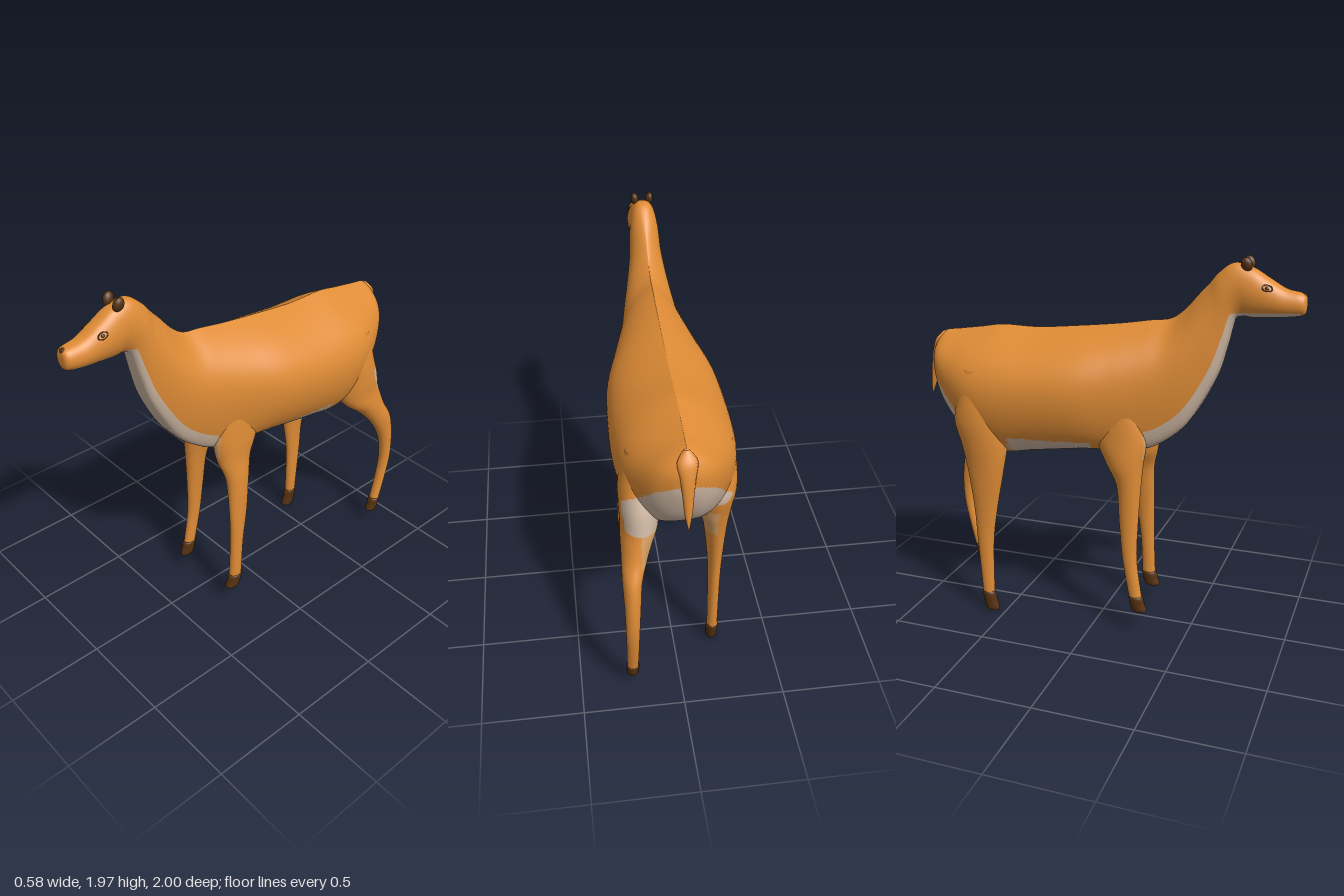
import * as THREE from 'three';

const { smoothstep } = THREE.MathUtils;

const flat = (name, color) => {
  const m = new THREE.MeshStandardMaterial({ color });
  m.name = name;
  return m;
};

// Smooth interpolation through rows of numbers
function sampleRows(rows, u) {
  const n = rows.length - 1;
  const i = Math.min(Math.floor(u * n), n - 1), t = u * n - i;
  const at = k => rows[Math.max(0, Math.min(n, k))];
  return rows[0].map((_, c) => {
    const a = at(i - 1)[c], b = at(i)[c], d = at(i + 1)[c], e = at(i + 2)[c];
    return b + 0.5 * t * (d - a + t * (2 * a - 5 * b + 4 * d - e + t * (3 * (b - d) + e - a)));
  });
}

// Skin a surface over rows; paint() picks the material index of each triangle
function loft(name, rows, point, materials, paint = () => 0, nu = 40, nv = 20) {
  const pos = [], buckets = materials.map(() => []);
  for (let i = 0; i <= nu; i++) {
    const row = sampleRows(rows, i / nu);
    for (let j = 0; j < nv; j++) pos.push(...point(row, j / nv * Math.PI * 2));
  }
  const add = (angle, ...tri) => {
    const mid = [0, 1, 2].map(q => tri.reduce((s, v) => s + pos[v * 3 + q], 0) / 3);
    buckets[paint(...mid, angle)].push(...tri);
  };
  for (let i = 0; i < nu; i++) {
    for (let j = 0; j < nv; j++) {
      const a = i * nv + j, b = a + nv, c = i * nv + (j + 1) % nv, d = c + nv;
      const angle = (j + 0.5) / nv * Math.PI * 2;
      add(angle, a, b, c);
      add(angle, c, b, d);
    }
  }
  const g = new THREE.BufferGeometry();
  g.setAttribute('position', new THREE.Float32BufferAttribute(pos, 3));
  g.setIndex(buckets.flat());
  let start = 0;
  buckets.forEach((list, m) => {
    if (list.length) g.addGroup(start, list.length, m);
    start += list.length;
  });
  g.computeVertexNormals();
  const mesh = new THREE.Mesh(g, materials);
  mesh.name = name;
  return mesh;
}

// Body section: top z, top y, bottom z, bottom y, half width.
// The back is pinched to a ridge, the chest is full and the head is rounder.
const bodyPoint = ([tz, ty, bz, by, w], a) => {
  const c = Math.cos(a), sn = Math.sin(a), s = (1 - c) / 2;
  const pinch = 0.9 - 1.1 * smoothstep(tz, 0.3, 0.68);
  const full = 0.3 + 0.3 * smoothstep(tz, -0.1, 0.25) - 0.6 * smoothstep(tz, 0.5, 0.7);
  const p = 1 + c * (c > 0 ? pinch : full);
  const f = Math.abs(sn) < 1e-6 ? 0 : Math.sign(sn) * Math.pow(Math.abs(sn), p);
  return [Math.max(w, 0) * f, ty + (by - ty) * s, tz + (bz - tz) * s];
};

// Limb section: x, y, z, half width, half depth
const limbPoint = ([x, y, z, rx, rz], a) =>
  [x + Math.max(rx, 0) * Math.cos(a), y, z - Math.max(rz, 0) * Math.sin(a)];

// Shoulder rows shared by both front legs
const shoulder = side => [
  [side * 0.12, 1.33, 0.14, 0.05, 0.06], [side * 0.125, 1.18, 0.142, 0.066, 0.095],
  [side * 0.123, 1.04, 0.14, 0.076, 0.128], [side * 0.132, 0.92, 0.159, 0.069, 0.098]
];

export function createModel() {
  const group = new THREE.Group();
  const coat = flat('orange coat', 0xdf8c36);
  const cream = flat('cream underside', 0xcdb6a2);
  const tan = flat('tan blend', 0xd7a065);
  const dark = flat('dark brown', 0x54300f);
  const skin = [coat, cream, tan];

  // Torso, neck and head in one skin, from rump to muzzle
  const body = [
    [-0.955, 1.39, -0.955, 1.39, 0],
    [-0.935, 1.455, -0.94, 1.27, 0.07],
    [-0.895, 1.505, -0.875, 1.12, 0.145],
    [-0.80, 1.522, -0.77, 1.0, 0.212],
    [-0.68, 1.54, -0.66, 0.935, 0.265],
    [-0.55, 1.56, -0.52, 0.89, 0.287],
    [-0.35, 1.56, -0.35, 0.915, 0.29],
    [-0.10, 1.585, -0.10, 0.95, 0.273],
    [0.10, 1.61, 0.08, 0.965, 0.225],
    [0.25, 1.635, 0.22, 0.98, 0.183],
    [0.35, 1.65, 0.33, 1.025, 0.155],
    [0.42, 1.70, 0.46, 1.14, 0.13],
    [0.48, 1.77, 0.58, 1.36, 0.10],
    [0.53, 1.825, 0.632, 1.53, 0.083],
    [0.58, 1.885, 0.665, 1.66, 0.076],
    [0.65, 1.933, 0.70, 1.683, 0.071],
    [0.74, 1.915, 0.75, 1.68, 0.073],
    [0.82, 1.87, 0.82, 1.685, 0.07],
    [0.90, 1.825, 0.90, 1.69, 0.062],
    [0.97, 1.81, 0.97, 1.70, 0.052],
    [0.996, 1.795, 0.996, 1.715, 0.036],
    [1.0, 1.76, 1.0, 1.76, 0]
  ];
  const isRump = (y, z) => z < -0.73 - (1.1 - y) * 0.5 && y < 1.32 - (z + 0.93) * 1.05 && y > 0.98;
  const paintBody = (x, y, z, a) => {
    const under = Math.PI - Math.abs(a - Math.PI);
    if (z > 0.67) return y < 1.705 + (z - 0.7) * 0.05 && z < 0.975 ? 1 : 0;
    if (z > 0.26) return under > 2.28 && y < 1.7 ? 1 : 0;
    if (z < -0.6) return isRump(y, z) ? 1 : 0;
    if (z < -0.02 && y < 1.02) return z > -0.45 ? 1 : y < 0.98 ? 2 : 0;
    return 0;
  };
  group.add(loft('body', body, bodyPoint, skin, paintBody, 252, 96));

  // Four legs in a walking pose, each with its own hoof
  const hindPaint = (x, y, z) => {
    if (isRump(y, z)) return 1;
    return y > 0.82 && y < 0.99 && Math.abs(x) < 0.19 ? 2 : 0;
  };
  const frontPaint = (x, y, z) => (y > 0.95 && y < 1.08 && z > 0.19 && Math.abs(x) < 0.15 ? 2 : 0);
  const addLeg = (name, paint, hoofHeight, rows) => {
    group.add(loft(name + 'Leg', rows, limbPoint, skin, paint, 120, 40));
    const [x, y, z, rx, rz] = rows[rows.length - 1], h = hoofHeight;
    const hoof = [
      [x, y + 0.012, z, 0, 0], [x, y + 0.01, z, rx + 0.002, rz + 0.002],
      [x, y - h * 0.45, z + 0.01, rx + 0.003, rz + 0.006],
      [x, y - h * 0.85, z + 0.02, rx + 0.001, rz + 0.007],
      [x, y - h, z + 0.022, rx - 0.006, rz - 0.002], [x, y - h, z + 0.022, 0, 0]
    ];
    group.add(loft(name + 'Hoof', hoof, limbPoint, [dark], undefined, 20, 20));
  };
  addLeg('leftHind', hindPaint, 0.07, [
    [0.18, 1.36, -0.66, 0.06, 0.08], [0.19, 1.2, -0.66, 0.082, 0.11],
    [0.185, 1.08, -0.68, 0.093, 0.135], [0.185, 0.98, -0.7, 0.09, 0.14],
    [0.2, 0.91, -0.735, 0.078, 0.125], [0.216, 0.84, -0.79, 0.063, 0.093],
    [0.235, 0.74, -0.86, 0.047, 0.073], [0.24, 0.6, -0.912, 0.038, 0.045],
    [0.243, 0.45, -0.925, 0.033, 0.032], [0.243, 0.3, -0.902, 0.03, 0.028],
    [0.243, 0.155, -0.868, 0.028, 0.028]
  ]);
  addLeg('rightHind', hindPaint, 0.1, [
    [-0.19, 1.36, -0.62, 0.06, 0.08], [-0.198, 1.2, -0.62, 0.08, 0.11],
    [-0.19, 1.08, -0.62, 0.092, 0.135], [-0.183, 0.95, -0.60, 0.085, 0.125],
    [-0.195, 0.82, -0.592, 0.058, 0.102], [-0.2, 0.6, -0.597, 0.037, 0.066],
    [-0.2, 0.4, -0.605, 0.03, 0.046], [-0.203, 0.1, -0.597, 0.027, 0.032]
  ]);
  addLeg('leftFront', frontPaint, 0.07, [
    ...shoulder(1), [0.165, 0.8, 0.163, 0.05, 0.066], [0.185, 0.6, 0.175, 0.035, 0.053],
    [0.19, 0.4, 0.19, 0.03, 0.038], [0.19, 0.17, 0.202, 0.029, 0.036]
  ]);
  addLeg('rightFront', frontPaint, 0.075, [
    ...shoulder(-1), [-0.14, 0.8, 0.185, 0.05, 0.064], [-0.15, 0.6, 0.19, 0.035, 0.05],
    [-0.158, 0.4, 0.2, 0.03, 0.038], [-0.163, 0.19, 0.235, 0.026, 0.034]
  ]);

  // Hanging tail, tapering to a point
  const tail = [
    [0, 1.505, -0.895, 0.01, 0.01], [0, 1.46, -0.922, 0.045, 0.025], [0, 1.39, -0.95, 0.034, 0.022],
    [0, 1.3, -0.965, 0.025, 0.022], [0, 1.22, -0.98, 0.017, 0.015], [0, 1.14, -0.996, 0.001, 0.001]
  ];
  group.add(loft('tail', tail, limbPoint, [coat], undefined, 24, 14));

  // Nose and small ears
  const ball = (name, p, s) => {
    const m = new THREE.Mesh(new THREE.SphereGeometry(1, 18, 12), dark);
    m.name = name;
    m.position.set(...p);
    m.scale.set(...s);
    group.add(m);
    return m;
  };
  ball('nose', [0, 1.793, 0.981], [0.022, 0.015, 0.018]);
  for (const side of [1, -1]) {
    const label = side > 0 ? 'left' : 'right';
    ball(label + 'Ear', [side * 0.037, 1.932, 0.716], [0.02, 0.034, 0.027]).rotation.set(-0.35, 0, -side * 0.15);

    // Eye: thin almond rim with a small pupil
    const eye = new THREE.Group();
    eye.name = label + 'Eye';
    const rim = new THREE.Mesh(new THREE.TorusGeometry(0.02, 0.003, 8, 24), dark);
    const pupil = new THREE.Mesh(new THREE.SphereGeometry(0.009, 12, 8), dark);
    rim.name = 'eyeRim';
    pupil.name = 'pupil';
    rim.scale.set(1.2, 0.75, 0.8);
    pupil.scale.z = 0.35;
    eye.add(rim, pupil);
    eye.position.set(side * 0.0605, 1.83, 0.82);
    eye.lookAt(side * 1.0605, 2.26, 0.96);
    eye.rotateZ(side * 0.2);
    group.add(eye);
  }
  return group;
}
